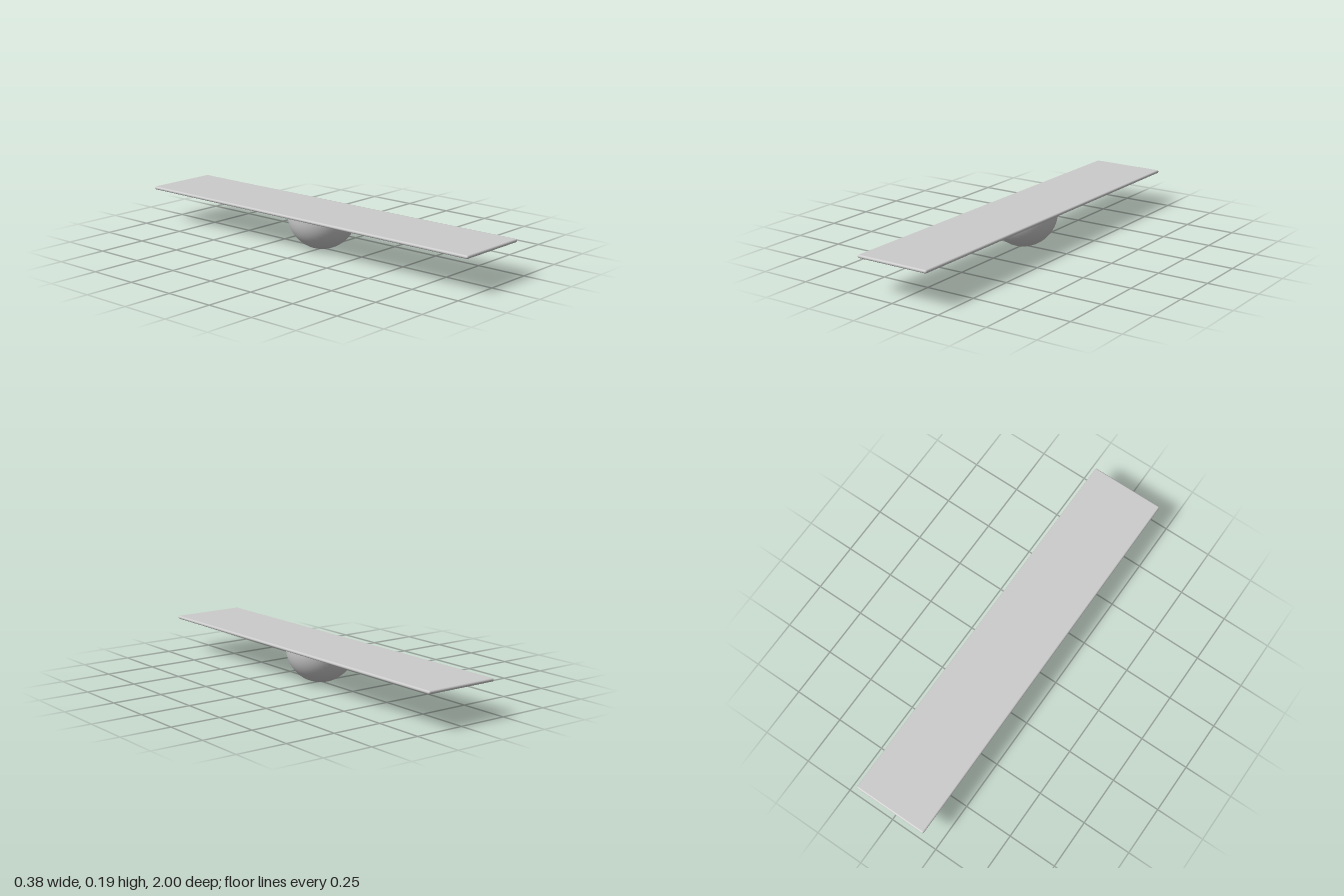
import * as THREE from 'three';
import { RoundedBoxGeometry } from 'three/addons/geometries/RoundedBoxGeometry.js';

const WIDTH = 0.38, LENGTH = 2, THICKNESS = 0.016;
const RADIUS = 0.168; // half-ball base
const BOARD_BOTTOM = 0.17;

export function createModel() {
  const model = new THREE.Group();
  model.name = 'balanceBoard';
  const material = new THREE.MeshStandardMaterial({ color: 0xcccccc });

  // Long thin plank with fully rounded edges
  const board = new THREE.Mesh(
    new RoundedBoxGeometry(WIDTH, THICKNESS, LENGTH, 4, THICKNESS / 2), material);
  board.name = 'board';
  board.position.y = BOARD_BOTTOM + THICKNESS / 2;
  model.add(board);

  // Half ball under the middle, with a short straight rim reaching into the plank
  const profile = [];
  const steps = 16;
  for (let i = 0; i <= steps; i++) {
    const a = (i / steps) * Math.PI / 2;
    profile.push(new THREE.Vector2(RADIUS * Math.sin(a), RADIUS * (1 - Math.cos(a))));
  }
  profile.push(new THREE.Vector2(RADIUS, BOARD_BOTTOM + THICKNESS / 4));
  const base = new THREE.Mesh(new THREE.LatheGeometry(profile, 48), material);
  base.name = 'halfBallBase';
  model.add(base);

  return model;
}
